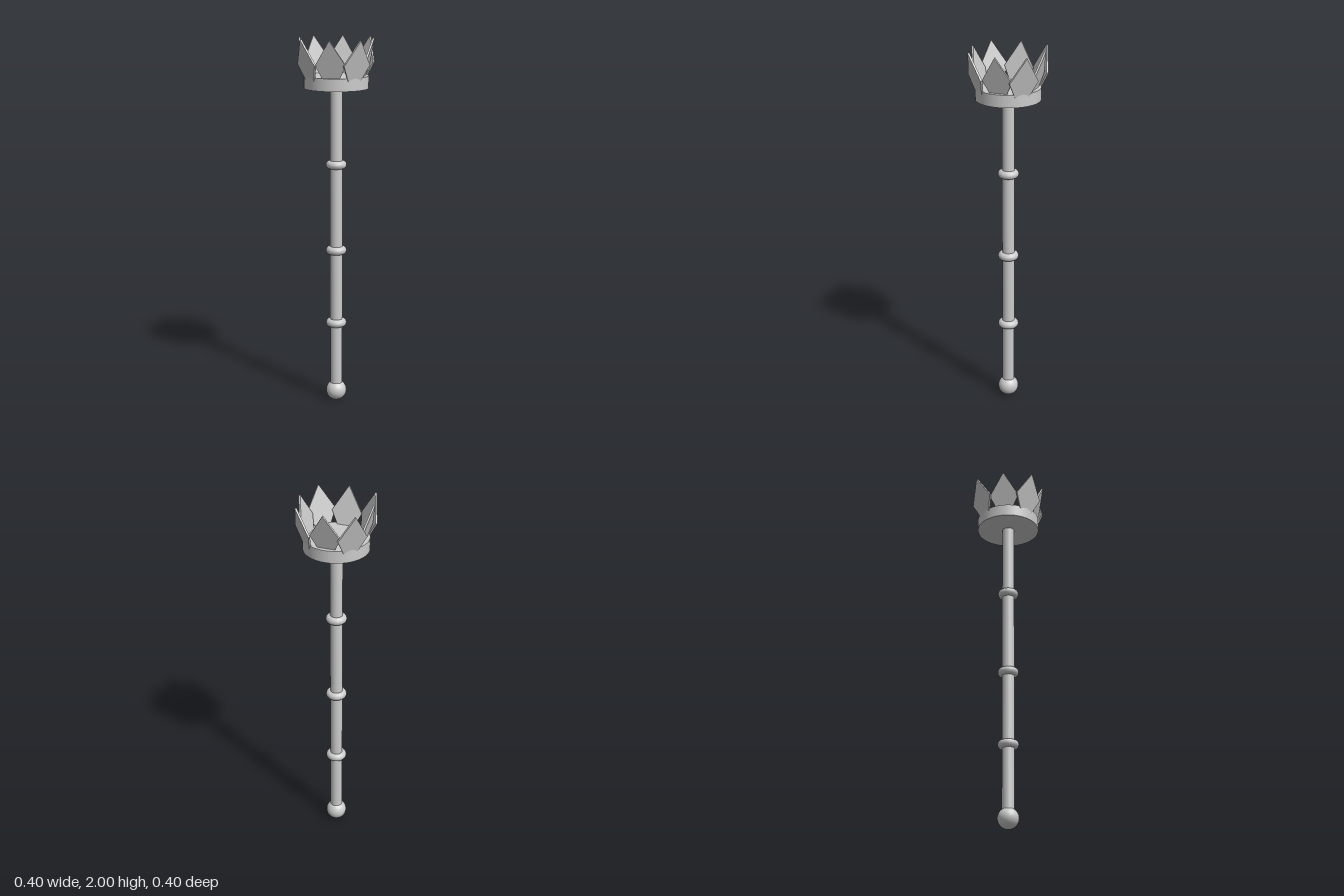
import * as THREE from 'three';

export function createModel() {
  const model = new THREE.Group();
  const mat = new THREE.MeshStandardMaterial({ color: 0xcccccc });
  const add = (name, geo, y) => {
    const mesh = new THREE.Mesh(geo, mat);
    mesh.name = name;
    mesh.position.y = y;
    model.add(mesh);
    return mesh;
  };

  // Shaft with a ball at the foot
  add('pommel', new THREE.SphereGeometry(0.056, 32, 20), 0.056);
  add('shaft', new THREE.CylinderGeometry(0.033, 0.033, 1.69, 32), 0.905);

  // Rounded rings along the shaft
  for (const y of [0.45, 0.86, 1.33]) {
    add('shaftRing', new THREE.TorusGeometry(0.034, 0.022, 14, 36).rotateX(Math.PI / 2), y);
  }

  // Solid disc carrying the crown
  add('crownBase', new THREE.CylinderGeometry(0.171, 0.171, 0.066, 48), 1.77);

  // Eight outward-leaning pointed plates, the diagonal ones set further out
  const outline = new THREE.Shape([
    new THREE.Vector2(-0.035, -0.02),
    new THREE.Vector2(0.035, -0.02),
    new THREE.Vector2(0.08, 0.073),
    new THREE.Vector2(0, 0.207),
    new THREE.Vector2(-0.08, 0.073),
  ]);
  const plate = new THREE.ExtrudeGeometry(outline, { depth: 0.01, bevelEnabled: false });
  plate.rotateX(0.265);
  for (let i = 0; i < 8; i++) {
    const angle = (i * Math.PI) / 4;
    const radius = i % 2 ? 0.16 : 0.137;
    const point = add('crownPoint', plate, 1.8);
    point.position.x = Math.sin(angle) * radius;
    point.position.z = Math.cos(angle) * radius;
    point.rotation.y = angle;
  }

  model.position.x = -0.002;
  return model;
}
